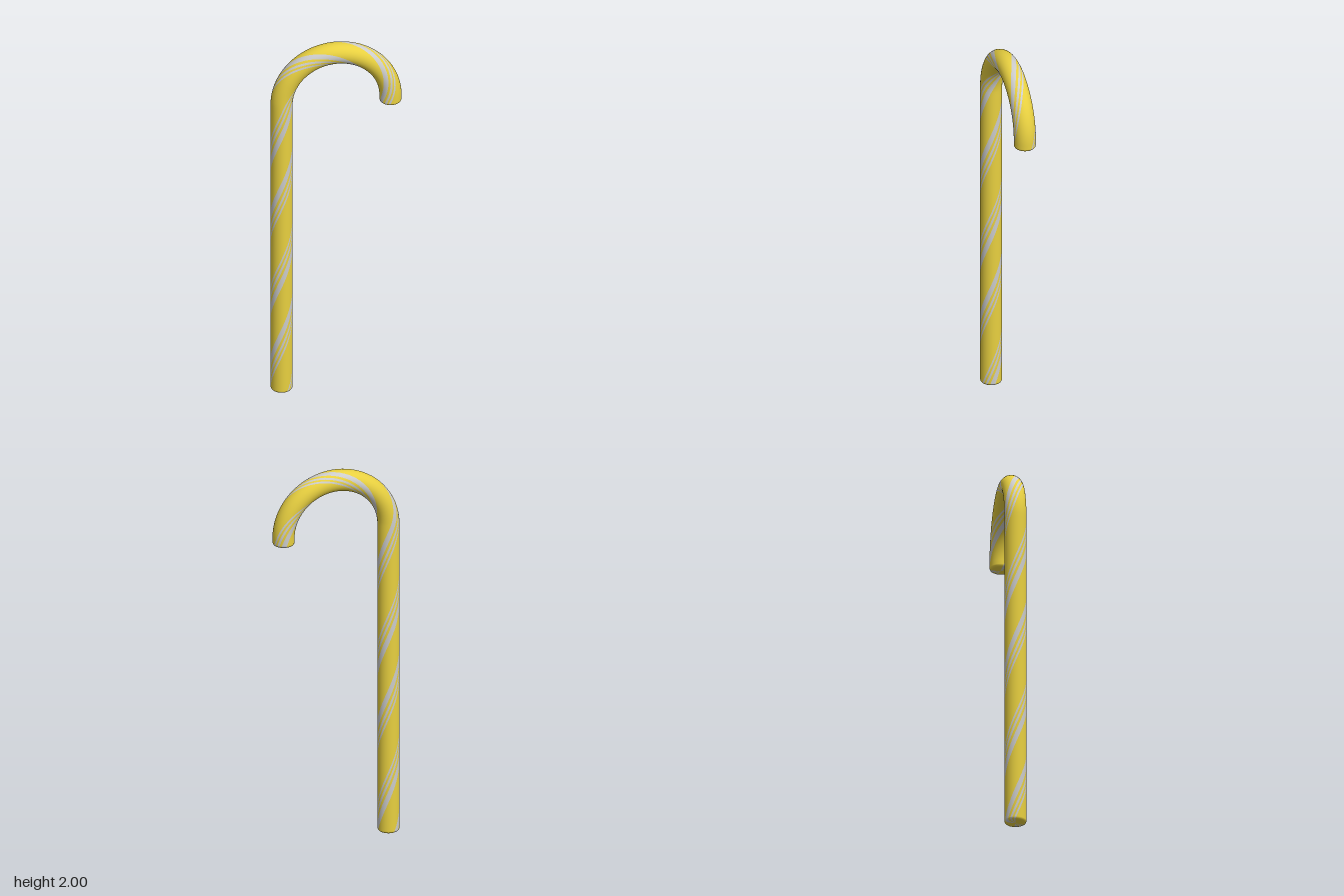
import * as THREE from 'three';

const TUBE = 0.055;          // tube radius
const HOOK = 0.274;          // hook radius
const BEND_Y = 1.671;        // height where the hook starts
const TIP = 0.036;           // straight run at the hook's end
const ARC = Math.PI * HOOK;
const TOTAL = BEND_Y + ARC + TIP;
const PITCH = 0.86;          // length of one full stripe turn
const ROUND = 0.014;         // rounding of both ends
const APEX = BEND_Y + ARC / 2;

const UP = new THREE.Vector3(0, 1, 0);
const ALONG = new THREE.Vector3(0.967, 0, 0.255).normalize(); // stem towards tip
const SIDE = new THREE.Vector3(-ALONG.z, 0, ALONG.x);

// Centre, outward normal and tangent of the cane at distance s from the foot
function frameAt(s) {
  const a = THREE.MathUtils.clamp((s - BEND_Y) / HOOK, 0, Math.PI);
  const y = s < BEND_Y ? s : BEND_Y - Math.max(0, s - BEND_Y - ARC);
  const normal = ALONG.clone().multiplyScalar(-Math.cos(a)).addScaledVector(UP, Math.sin(a));
  const tangent = ALONG.clone().multiplyScalar(Math.sin(a)).addScaledVector(UP, Math.cos(a));
  const centre = normal.clone().multiplyScalar(HOOK).addScaledVector(UP, y);
  return { centre, normal, tangent };
}

// Rows along the cane: distance, radius and tilt of the surface normal
function makeRows() {
  const cap = [{ s: 0, r: 0, tilt: Math.PI / 2 }];
  for (let i = 0; i <= 4; i++) {
    const t = (i / 4) * Math.PI / 2;
    cap.push({
      s: ROUND * (1 - Math.cos(t)),
      r: TUBE - ROUND + ROUND * Math.sin(t),
      tilt: Math.PI / 2 - t,
    });
  }
  const body = [];
  for (let i = 1; i < 110; i++) {
    body.push({ s: ROUND + (TOTAL - 2 * ROUND) * i / 110, r: TUBE, tilt: 0 });
  }
  const end = cap.map(({ s, r, tilt }) => ({ s: TOTAL - s, r, tilt: -tilt })).reverse();
  return [...cap, ...body, ...end];
}

// One helical band of the surface between two angles (degrees)
function bandGeometry(from, to, rows) {
  const steps = Math.max(2, Math.ceil((to - from) / 11));
  const positions = [], normals = [], index = [];
  rows.forEach(({ s, r, tilt }, i) => {
    const { centre, normal, tangent } = frameAt(s);
    for (let j = 0; j <= steps; j++) {
      const angle = THREE.MathUtils.degToRad(from + (to - from) * j / steps)
        + 2 * Math.PI * (s - APEX) / PITCH;
      const radial = normal.clone().multiplyScalar(Math.cos(angle))
        .addScaledVector(SIDE, Math.sin(angle));
      positions.push(...centre.clone().addScaledVector(radial, r).toArray());
      normals.push(...radial.multiplyScalar(Math.cos(tilt))
        .addScaledVector(tangent, -Math.sin(tilt)).toArray());
      if (i < rows.length - 1 && j < steps) {
        const a = i * (steps + 1) + j, b = a + steps + 1;
        index.push(a, a + 1, b, a + 1, b + 1, b);
      }
    }
  });
  const geometry = new THREE.BufferGeometry();
  geometry.setAttribute('position', new THREE.Float32BufferAttribute(positions, 3));
  geometry.setAttribute('normal', new THREE.Float32BufferAttribute(normals, 3));
  geometry.setIndex(index);
  return geometry;
}

export function createModel() {
  const cane = new THREE.Group();
  cane.name = 'candyCane';
  const yellow = new THREE.MeshStandardMaterial({ color: 0xe8d040 });
  const grey = new THREE.MeshStandardMaterial({ color: 0xcccccc });

  // Alternating stripe edges: each group has one wide and two thin grey stripes
  const edges = [-92, -82, -72, -60, -47, -20, 80, 107, 120, 132, 142, 152, 268];
  const rows = makeRows();
  for (let i = 0; i < edges.length - 1; i++) {
    const isGrey = i % 2 === 0;
    const mesh = new THREE.Mesh(bandGeometry(edges[i], edges[i + 1], rows), isGrey ? grey : yellow);
    mesh.name = (isGrey ? 'greyStripe' : 'yellowStripe') + (Math.floor(i / 2) + 1);
    cane.add(mesh);
  }
  return cane;
}
